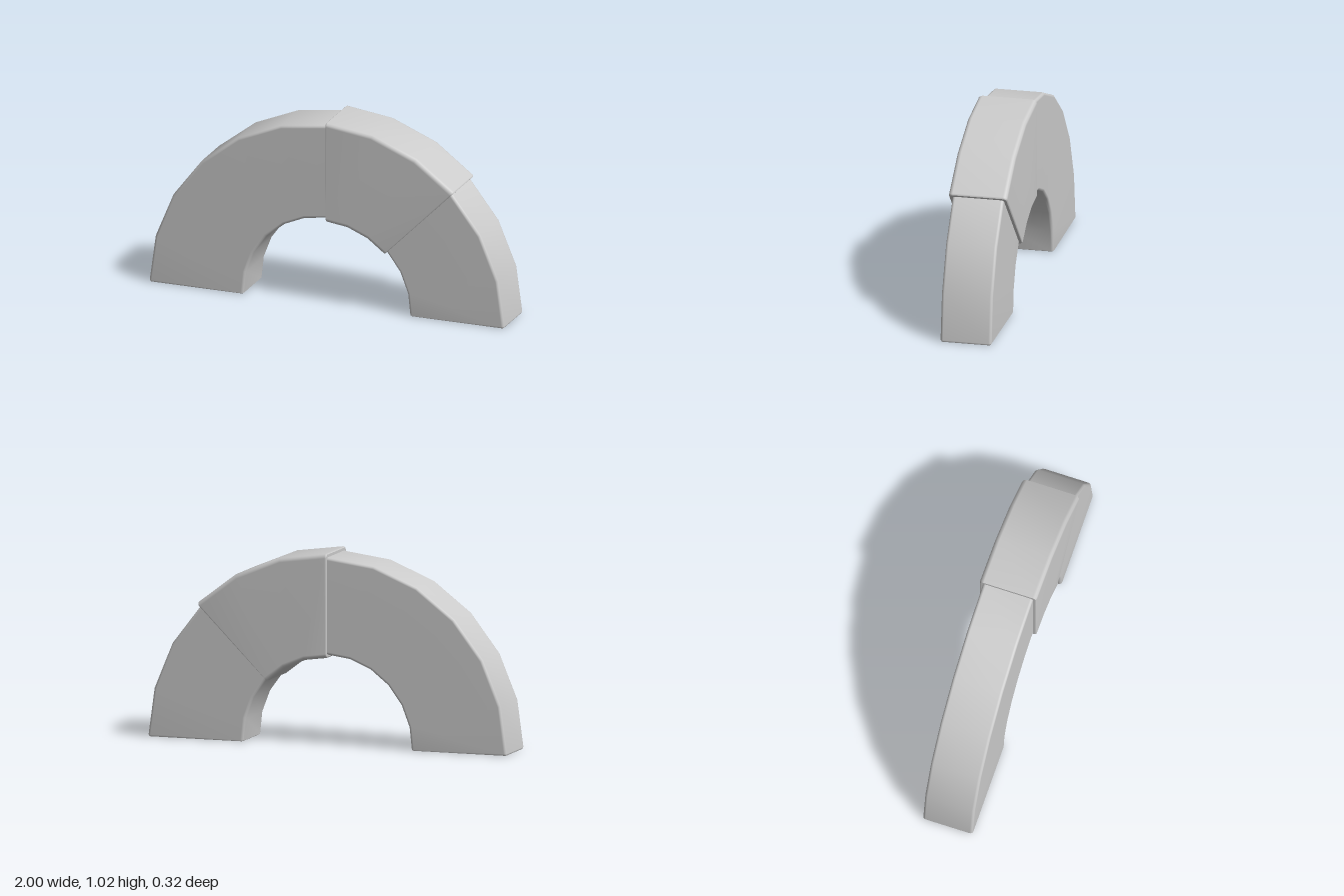
import * as THREE from 'three';
import { mergeGeometries } from 'three/addons/utils/BufferGeometryUtils.js';

const STEP = Math.PI / 12; // one bend facet

// Rounded rectangle in the (radius, z) plane, counter-clockwise
function section({ r0, r1, hz, corner }, inset) {
  const c = Math.max(corner - inset, 0.004);
  const a = r0 + inset + c, b = r1 - inset - c, h = hz - inset - c;
  const corners = [[b, h, 0], [a, h, 1], [a, -h, 2], [b, -h, 3]];
  const pts = [];
  for (const [r, z, q] of corners) {
    for (let k = 0; k <= 3; k++) {
      const t = (q + k / 3) * Math.PI / 2;
      pts.push([r + c * Math.cos(t), z + c * Math.sin(t)]);
    }
  }
  return pts;
}

// Sweep the section around the bend; each row is [angle, inset]
function sweep(size, rows) {
  const pos = [], index = [];
  let n = 0;
  rows.forEach(([angle, inset], i) => {
    const r0 = size.r0 + size.rise * Math.sin(angle);
    const pts = section({ ...size, r0 }, inset);
    n = pts.length;
    pts.forEach(([r, z], j) => {
      pos.push(r * Math.cos(angle), r * Math.sin(angle), z);
      if (i === rows.length - 1) return;
      const a = i * n + j, b = i * n + (j + 1) % n;
      index.push(a, a + n, b + n, a, b + n, b);
    });
  });
  const g = new THREE.BufferGeometry();
  g.setAttribute('position', new THREE.Float32BufferAttribute(pos, 3));
  g.setIndex(index);
  g.computeVertexNormals();
  return g;
}

// Rows from facet `from` to facet `to`, with a softened lip at both ends
function bendRows(from, to, lip, run) {
  const rows = [[from * STEP, lip], [from * STEP + run, 0]];
  for (let i = from + 1; i < to; i++) rows.push([i * STEP, 0]);
  rows.push([to * STEP - run, 0], [to * STEP, lip]);
  return rows;
}

export function createModel() {
  const group = new THREE.Group();
  const material = new THREE.MeshStandardMaterial({ color: 0xcccccc, side: THREE.DoubleSide });

  const add = (name, geometry) => {
    const mesh = new THREE.Mesh(geometry, material);
    mesh.name = name;
    group.add(mesh);
  };

  // Hollow half-circle duct, open at both feet
  const duct = { r0: 0.468, r1: 1, hz: 0.138, corner: 0.016, rise: 0.015 };
  add('archDuct', sweep(duct, bendRows(0, 12, 0.006, 0.01)));

  // Wider sleeve around three facets, with end rims closing onto the duct
  const sleeve = { r0: 0.464, r1: 1.021, hz: 0.158, corner: 0.024, rise: 0.003 };
  const lip = 0.006, reach = 0.026, a0 = 3 * STEP, a1 = 6 * STEP;
  add('sleeve', mergeGeometries([
    sweep(sleeve, bendRows(3, 6, lip, 0.008)),
    sweep(sleeve, [[a0, reach], [a0, lip]]),
    sweep(sleeve, [[a1, lip], [a1, reach]]),
  ]));

  return group;
}
